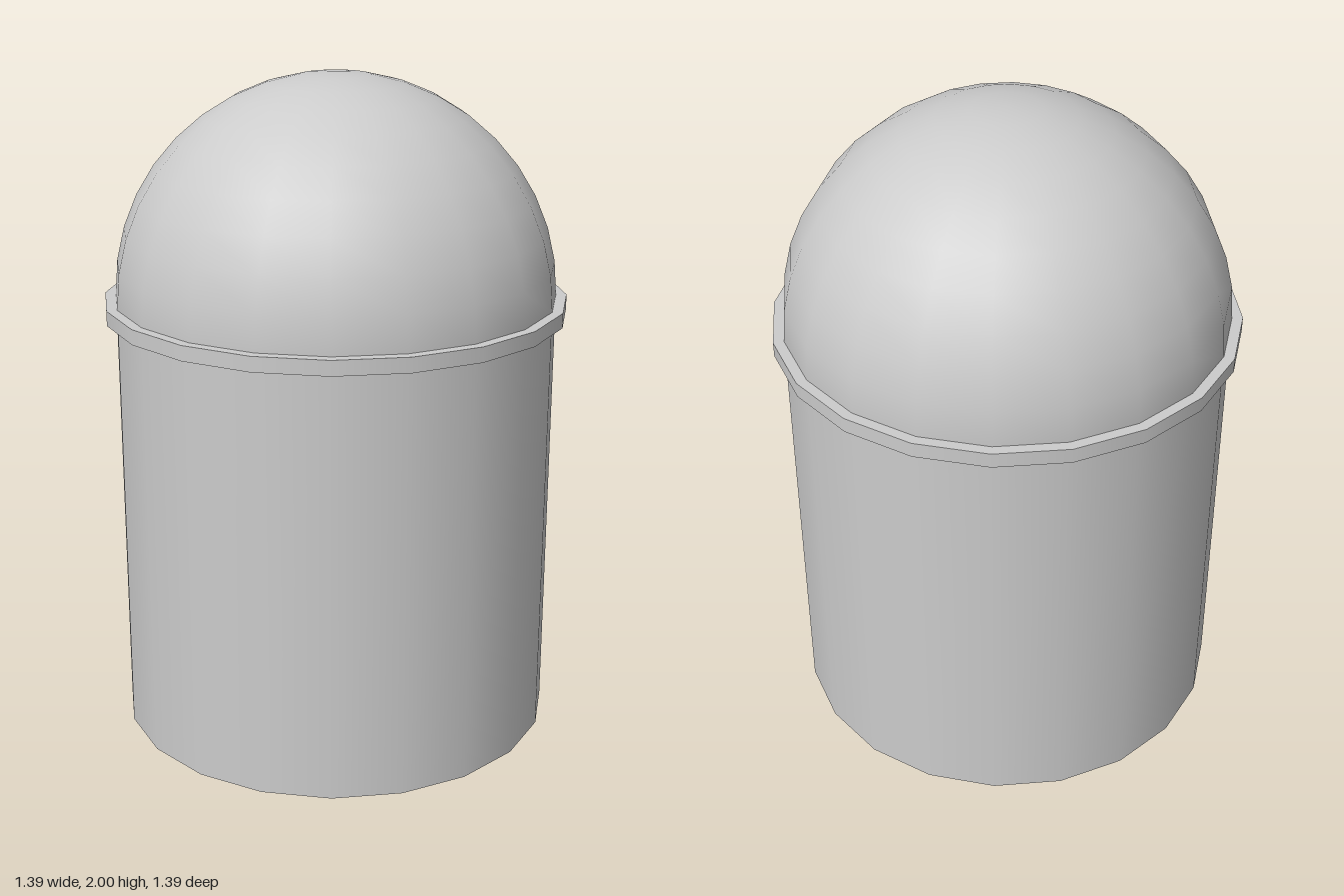
import * as THREE from 'three';

const SIDES = 20;
const RADIUS = 0.665;
const BODY_TOP = 1.335;
const BAND_RADIUS = 0.697;
const BAND_BOTTOM = 1.29;

export function createModel() {
  const group = new THREE.Group();
  group.name = 'domedCylinder';
  const material = new THREE.MeshStandardMaterial({ color: 0xcccccc });

  const add = (name, geometry, y) => {
    const mesh = new THREE.Mesh(geometry, material);
    mesh.name = name;
    mesh.position.y = y;
    group.add(mesh);
  };

  // Straight cylindrical body with a closed base
  add('body', new THREE.CylinderGeometry(RADIUS, RADIUS, BODY_TOP, SIDES), BODY_TOP / 2);

  // Thin projecting band where the dome meets the body
  const bandProfile = [
    [RADIUS - 0.01, BAND_BOTTOM], [BAND_RADIUS, BAND_BOTTOM],
    [BAND_RADIUS, BODY_TOP], [RADIUS - 0.01, BODY_TOP],
  ].map(([r, y]) => new THREE.Vector2(r, y));
  // Each face of the profile is a separate strip so its edges stay sharp
  for (let i = 0; i < 3; i++) {
    const name = ['bandUnderside', 'bandSide', 'bandTop'][i];
    add(name, new THREE.LatheGeometry(bandProfile.slice(i, i + 2), SIDES), 0);
  }

  // Smooth hemispherical dome
  add('dome', new THREE.SphereGeometry(RADIUS, SIDES, 10, 0, Math.PI * 2, 0, Math.PI / 2), BODY_TOP);

  return group;
}
